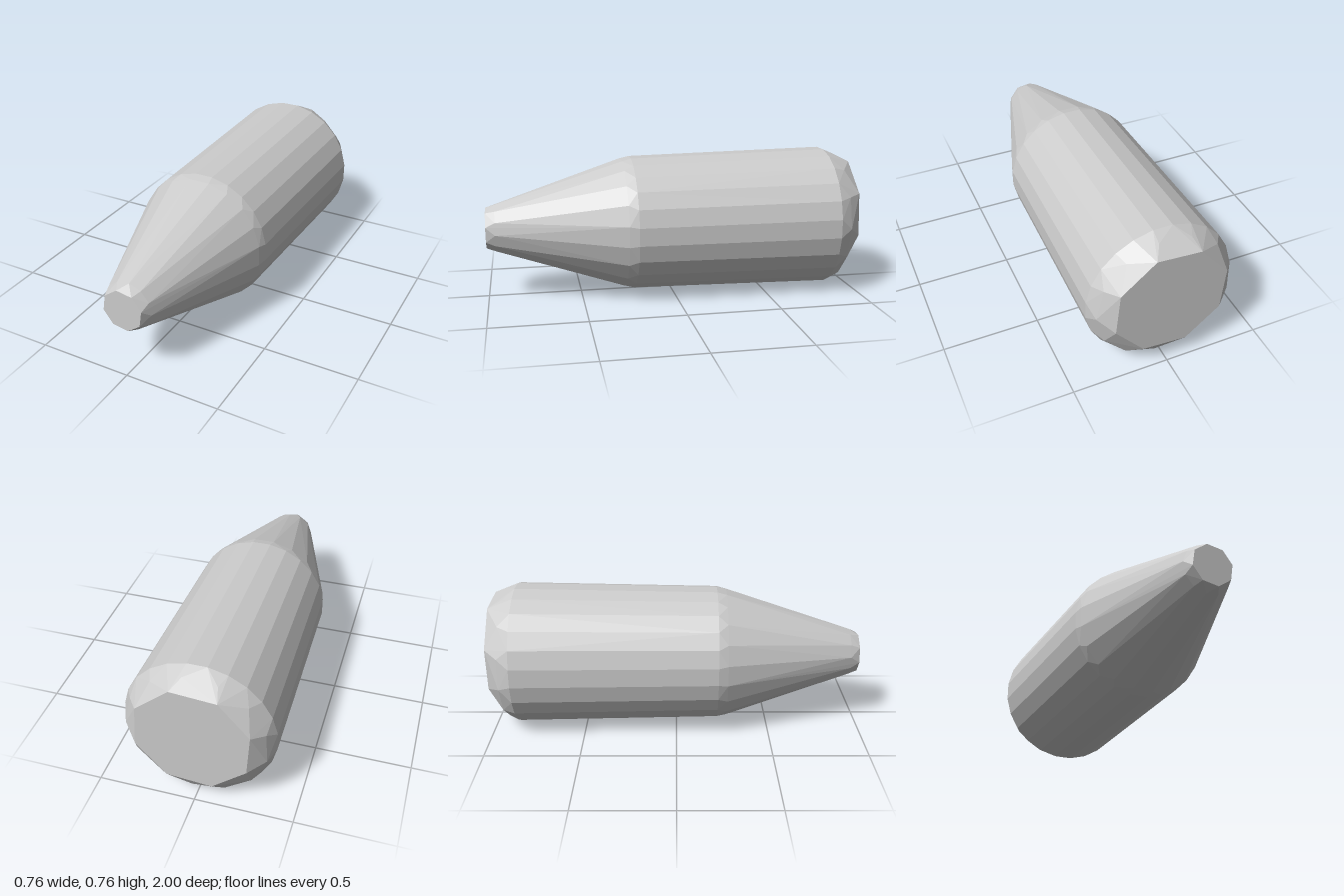
import * as THREE from 'three';
import { ConvexGeometry } from 'three/addons/geometries/ConvexGeometry.js';

const CENTRE_Y = 0.382;

// Ring of points across the long axis: depth, radius, side count, turn in steps
function ring(z, radius, sides, turn = 0.5) {
  return Array.from({ length: sides }, (_, i) => {
    const a = ((i + turn) / sides) * Math.PI * 2;
    return new THREE.Vector3(Math.sin(a) * radius, CENTRE_Y + Math.cos(a) * radius, z);
  });
}

export function createModel() {
  const group = new THREE.Group();
  group.name = 'taperedBody';
  const material = new THREE.MeshStandardMaterial({ color: 0xcccccc, flatShading: true });

  // Rings with differing side counts give the faceted, uneven skin
  const points = [
    // Flat rear face, a coarse polygon set slightly high
    ...ring(-1, 0.3, 8, 0.4).map((p) => p.setY(p.y + 0.03)),
    // Rounded rear edge
    ...ring(-0.93, 0.356, 13, 0.3),
    ...ring(-0.865, 0.384, 24),
    // Shoulder where the barrel turns into the cone
    ...ring(0.22, 0.363, 24),
    ...ring(0.27, 0.352, 20),
    // Small bevel and flat tip
    ...ring(0.95, 0.129, 12, 0.2),
    ...ring(1, 0.109, 8, 0.7),
  ];
  const body = new THREE.Mesh(new ConvexGeometry(points), material);
  body.name = 'body';
  group.add(body);
  return group;
}
